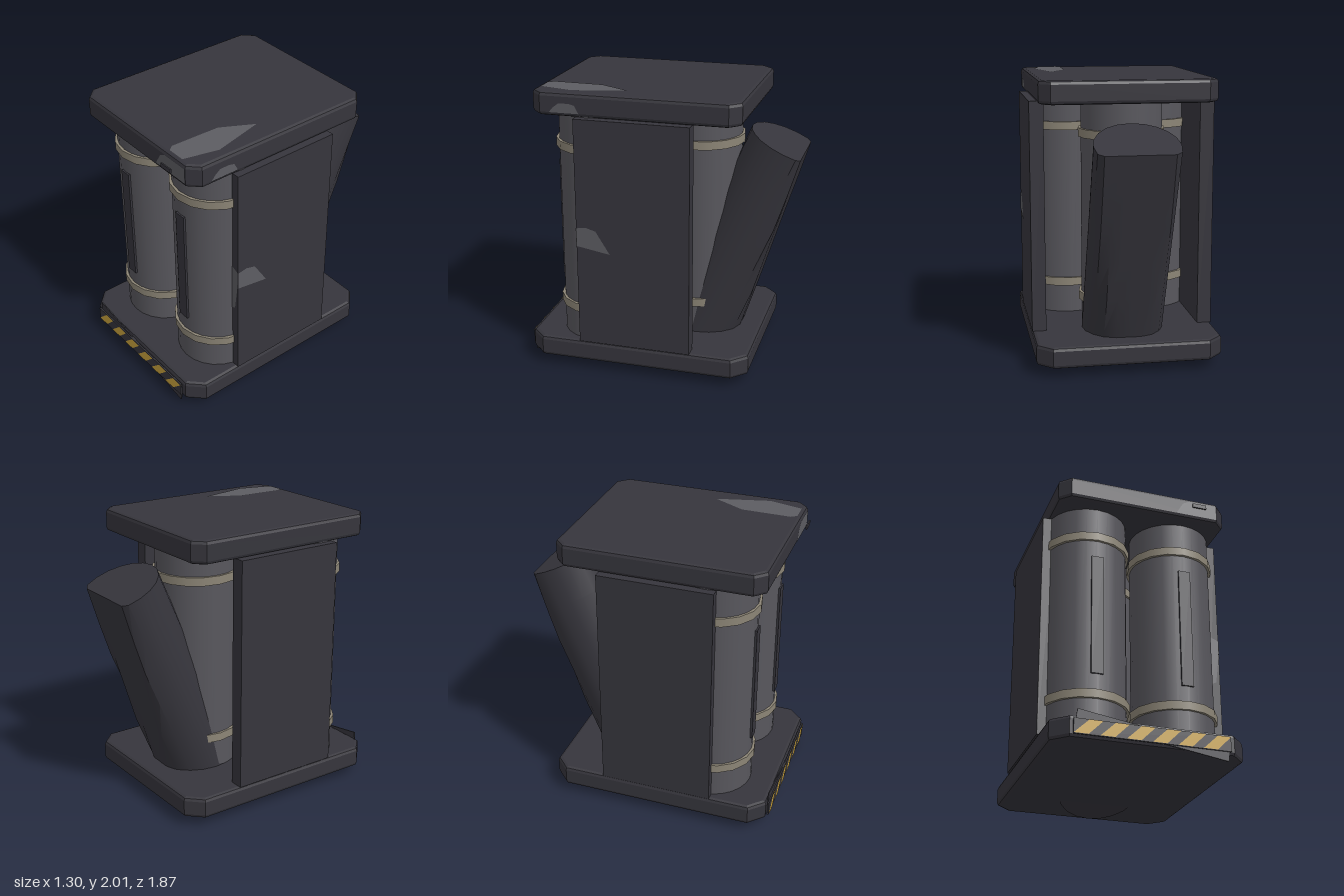
import * as THREE from 'three';
import { toCreasedNormals } from 'three/addons/utils/BufferGeometryUtils.js';

function material(name, color, side = THREE.FrontSide) {
  const m = new THREE.MeshStandardMaterial({ color, side });
  m.name = name;
  return m;
}

export function createModel() {
  const model = new THREE.Group();
  model.name = 'canisterRack';

  const dark = material('dark frame', 0x36353c);
  const grey = material('grey canister', 0x58575d);
  const tan = material('tan strap', 0x8c8576);
  const yellow = material('hazard yellow', 0xc9a23c, THREE.DoubleSide);
  const worn = material('worn metal', 0x5d5d62, THREE.DoubleSide);

  function add(name, geometry, mat, x = 0, y = 0, z = 0, parent = model) {
    const mesh = new THREE.Mesh(geometry, mat);
    mesh.name = name;
    mesh.position.set(x, y, z);
    parent.add(mesh);
    return mesh;
  }

  const polygon = (pts) => new THREE.Shape(pts.map(([x, y]) => new THREE.Vector2(x, y)));

  // Slab with cut corners and bevelled rims
  function slab(name, w, d, y0, y1, z, cut) {
    const b = 0.025, hw = w / 2 - b, hd = d / 2 - b;
    const shape = polygon([
      [-hw + cut, -hd], [hw - cut, -hd], [hw, -hd + cut], [hw, hd - cut],
      [hw - cut, hd], [-hw + cut, hd], [-hw, hd - cut], [-hw, -hd + cut],
    ]);
    const geo = new THREE.ExtrudeGeometry(shape, {
      depth: y1 - y0 - 2 * b, bevelSize: b, bevelThickness: b, bevelSegments: 2,
    });
    geo.rotateX(-Math.PI / 2);
    add(name, geo, dark, 0, y0 + b, z);
  }
  slab('base', 1.3, 1.59, 0.06, 0.21, 0.115, 0.09);
  slab('lid', 1.22, 1.44, 1.84, 2.0, 0.12, 0.06);

  // Side panels
  for (const s of [-1, 1]) {
    add('sidePanel', new THREE.BoxGeometry(0.1, 1.63, 0.8), dark, s * 0.6, 1.025, 0.12);
  }

  // Upright canisters with straps and a front plate
  for (const [x, z] of [[-0.315, 0.445], [0.315, 0.445], [0, -0.205]]) {
    const canister = new THREE.Group();
    canister.name = 'canister';
    canister.position.set(x, 0, z);
    model.add(canister);
    add('canisterBody', new THREE.CylinderGeometry(0.285, 0.285, 1.65, 24), grey, 0, 1.025, 0, canister);
    for (const y of [0.445, 1.615]) {
      add('strap', new THREE.CylinderGeometry(0.305, 0.305, 0.06, 16), tan, 0, y, 0, canister);
    }
    add('frontPlate', new THREE.BoxGeometry(0.085, 0.87, 0.03), dark, 0, 1.025, 0.28, canister);
  }

  // Leaning canister, crushed flat towards its upper back
  const length = 1.617, tilt = 0.405;
  const leaning = new THREE.CylinderGeometry(0.29, 0.29, length, 20, 6);
  const p = leaning.attributes.position;
  for (let i = 0; i < p.count; i++) {
    const t = p.getY(i) / length + 0.5;
    p.setZ(i, Math.max(p.getZ(i), -0.29 + 0.17 * t));
  }
  const lean = add('leaningCanister', toCreasedNormals(leaning, 0.6), dark, 0, 0.853, -0.51);
  lean.rotation.x = -tilt;

  // Hazard strip on the base, with a loose backing plate
  const backing = add('looseBackingPlate', new THREE.BoxGeometry(1.02, 0.075, 0.008), dark, 0, 0.135, 0.914);
  backing.rotation.z = -0.155;
  add('hazardPlate', new THREE.BoxGeometry(1.04, 0.1, 0.012), dark, -0.005, 0.133, 0.922);
  const stripe = new THREE.ShapeGeometry(polygon([[0, 0], [0.095, 0], [0.19, 0.095], [0.1, 0.095]]));
  for (let i = 0; i < 6; i++) {
    add('hazardStripe', stripe, yellow, -0.525 + i * 0.17, 0.086, 0.931);
  }

  // Small tag on the lid front
  add('lidTag', new THREE.BoxGeometry(0.1, 0.03, 0.01), dark, 0.39, 1.925, 0.877);

  // Worn patches
  const patch = (name, pts) => add(name, new THREE.ShapeGeometry(polygon(pts)), worn);
  const lidTop = patch('lidTopWear', [
    [0.44, -0.2], [0.32, -0.42], [0.31, -0.77], [0.34, -0.81], [0.47, -0.81], [0.53, -0.57],
  ]);
  lidTop.rotation.x = -Math.PI / 2;
  lidTop.position.y = 2.003;

  const lidFront = patch('lidFrontWear', [
    [0.23, 1.865], [0.53, 1.865], [0.53, 1.975], [0.33, 1.975], [0.28, 1.95],
  ]);
  lidFront.position.z = 0.843;

  const lidSide = patch('lidSideWear', [
    [-0.7, 1.865], [-0.49, 1.865], [-0.52, 1.92], [-0.56, 1.93], [-0.63, 1.93], [-0.67, 1.9],
  ]);
  lidSide.rotation.y = Math.PI / 2;
  lidSide.position.x = 0.613;

  const panelSide = patch('panelSideWear', [
    [-0.52, 0.94], [-0.28, 0.9], [-0.38, 1.06], [-0.45, 1.08], [-0.52, 1.07],
  ]);
  panelSide.rotation.y = Math.PI / 2;
  panelSide.position.x = 0.653;

  const panelFront = patch('panelFrontWear', [
    [0.58, 0.73], [0.62, 0.75], [0.65, 0.98], [0.65, 1.07], [0.58, 1.1],
  ]);
  panelFront.position.z = 0.523;

  return model;
}
